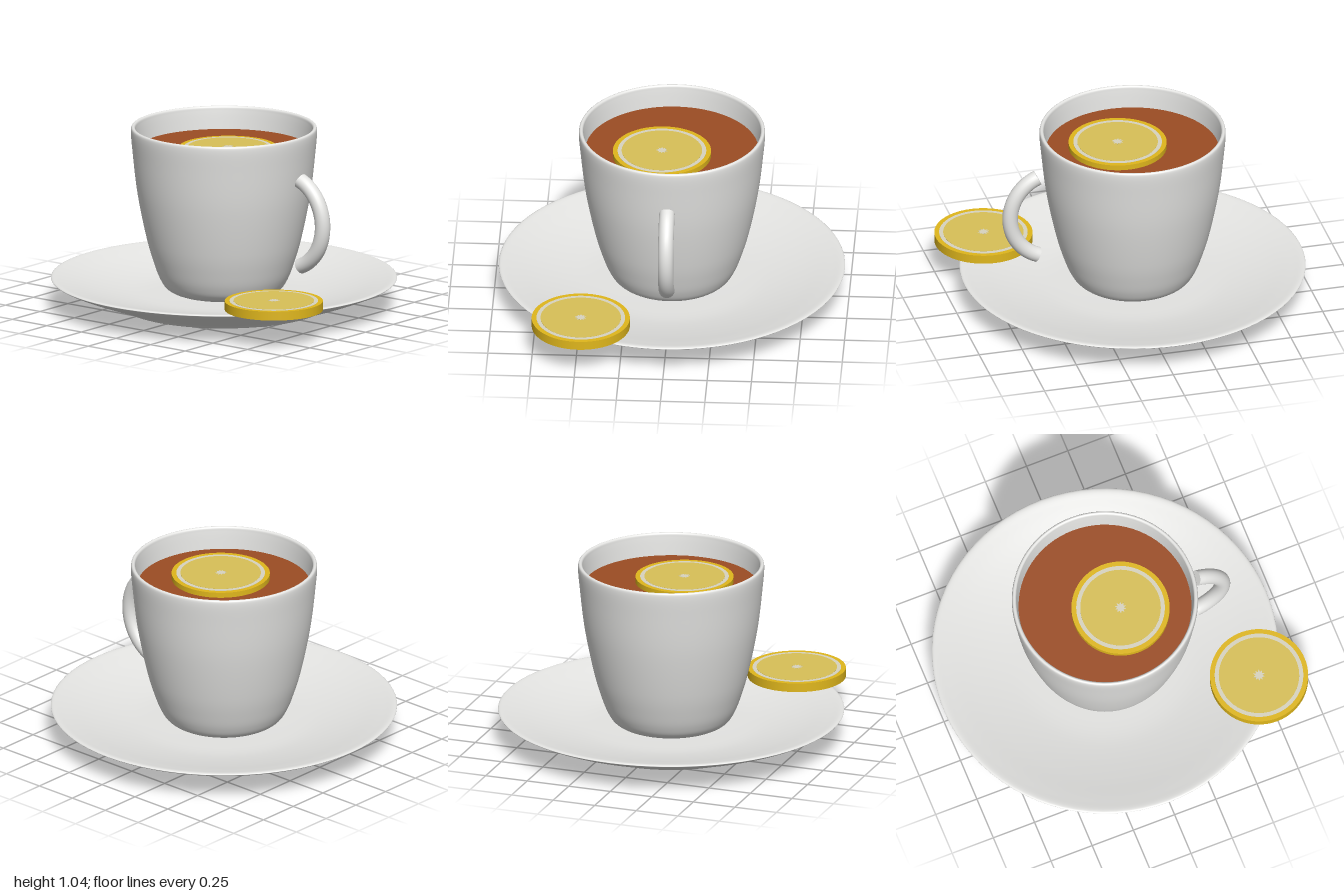
import * as THREE from 'three';

const mat = (name, color, side = THREE.FrontSide) => {
  const m = new THREE.MeshStandardMaterial({ color, side });
  m.name = name;
  return m;
};

// Smooth turned surface: control points run from the underside, over the rim, to the inside
function turned(points, material, name, samples = 90) {
  const curve = new THREE.CatmullRomCurve3(
    points.map(([r, y]) => new THREE.Vector3(r, y, 0)), false, 'centripetal');
  const profile = curve.getPoints(samples).map(p => new THREE.Vector2(Math.max(p.x, 0), p.y));
  const mesh = new THREE.Mesh(new THREE.LatheGeometry(profile, 80), material);
  mesh.name = name;
  return mesh;
}

export function createModel() {
  const china = mat('white china', 0xe4e4e2);
  const teaMat = mat('tea', 0x9c4d24);
  const rindMat = mat('lemon rind', 0xe0b71c);
  const pithMat = mat('lemon pith', 0xd8d4c0);
  const fleshMat = mat('lemon flesh', 0xd8c058);

  const model = new THREE.Group();
  model.name = 'teaCupWithLemon';

  // Cup, saucer, tea and handle share one axis
  const service = new THREE.Group();
  service.name = 'cupAndSaucer';
  service.position.x = -0.023;
  model.add(service);

  service.add(turned([
    [0, 0.02], [0.3, 0.02], [0.48, 0.018], [0.51, 0.002], [0.55, 0], [0.58, 0.008],
    [0.62, 0.03], [0.75, 0.073], [0.9, 0.13], [0.965, 0.16], [0.976, 0.168],
    [0.965, 0.174], [0.9, 0.162], [0.75, 0.126], [0.6, 0.096], [0.48, 0.08], [0.3, 0.075], [0, 0.075],
  ], china, 'saucer'));

  service.add(turned([
    [0, 0.08], [0.22, 0.08], [0.28, 0.089], [0.33, 0.118], [0.365, 0.175], [0.4, 0.27],
    [0.433, 0.385], [0.487, 0.652], [0.514, 0.88], [0.525, 1.02], [0.521, 1.037], [0.512, 1.041],
    [0.503, 1.035], [0.499, 1.015], [0.486, 0.9], [0.46, 0.65], [0.405, 0.38], [0.33, 0.2], [0.25, 0.13], [0, 0.12],
  ], china, 'cup', 120));

  const tea = new THREE.Mesh(new THREE.CircleGeometry(0.488, 80).rotateX(-Math.PI / 2), teaMat);
  tea.name = 'tea';
  tea.position.y = 0.912;
  service.add(tea);

  // Handle: bent rod with flat cut ends
  const handle = new THREE.Group();
  handle.name = 'handle';
  const sweep = THREE.MathUtils.degToRad(69);
  const arc = [];
  for (let i = 0; i <= 16; i++) {
    const a = -sweep + (2 * sweep * i) / 16;
    arc.push(new THREE.Vector3(0.463 + 0.25 * Math.cos(a), 0.56 + 0.265 * Math.sin(a), 0));
  }
  const path = new THREE.CatmullRomCurve3(arc);
  const rod = new THREE.Mesh(new THREE.TubeGeometry(path, 48, 0.044, 24), china);
  rod.name = 'handleRod';
  handle.add(rod);
  for (const t of [0, 1]) {
    const cap = new THREE.Mesh(new THREE.CircleGeometry(0.044, 24), china);
    cap.name = 'handleEnd';
    cap.position.copy(path.getPointAt(t));
    const out = path.getTangentAt(t).multiplyScalar(t ? 1 : -1);
    cap.quaternion.setFromUnitVectors(new THREE.Vector3(0, 0, 1), out);
    handle.add(cap);
  }
  service.add(handle);

  // Lemon slice: nested discs, each a hair thicker, so both faces show the rings
  function lemonSlice(name, x, y, z) {
    const slice = new THREE.Group();
    slice.name = name;
    const disc = (part, r, h, material) => {
      const m = new THREE.Mesh(new THREE.CylinderGeometry(r, r, h, 64), material);
      m.name = part;
      slice.add(m);
    };
    disc('rind', 0.277, 0.051, rindMat);
    disc('pith', 0.25, 0.053, pithMat);
    disc('flesh', 0.227, 0.055, fleshMat);
    // Star-shaped core
    const star = new THREE.Shape();
    for (let i = 0; i < 20; i++) {
      const a = (i / 20) * Math.PI * 2, r = i % 2 ? 0.02 : 0.034;
      star[i ? 'lineTo' : 'moveTo'](r * Math.cos(a), r * Math.sin(a));
    }
    const geo = new THREE.ExtrudeGeometry(star, { depth: 0.057, bevelEnabled: false });
    const core = new THREE.Mesh(geo.translate(0, 0, -0.0285).rotateX(-Math.PI / 2), pithMat);
    core.name = 'core';
    slice.add(core);
    slice.position.set(x, y, z);
    model.add(slice);
  }
  lemonSlice('floatingSlice', 0.05, 0.917, 0.053);
  lemonSlice('saucerSlice', 0.721, 0.202, 0.477);

  return model;
}
